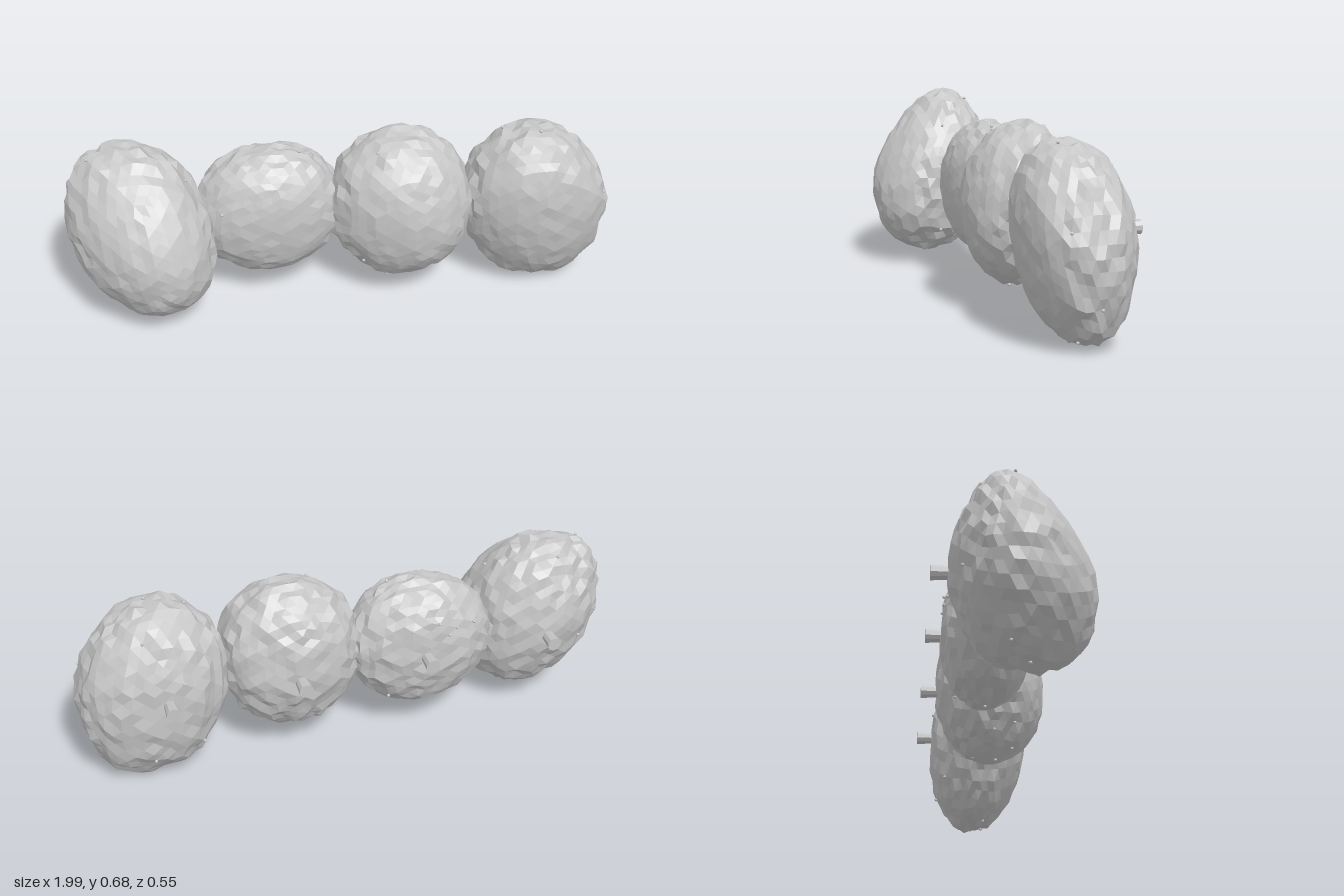
import * as THREE from 'three';

const stone = new THREE.MeshStandardMaterial({ color: 0xc6c6c6, flatShading: true });
stone.name = 'grey stone';

// Repeatable value in -1..1 for a point, so shared corners stay joined
function hash(x, y, z, seed) {
  const q = (v) => Math.round(v * 1000);
  const s = Math.sin(q(x) * 12.9898 + q(y) * 78.233 + q(z) * 37.719 + seed * 4.13) * 43758.5453;
  return (s - Math.floor(s)) * 2 - 1;
}

// Each boulder: bounds, squareness, front bulge, sideways leans and forward lean, peg height
const boulders = [
  { x: [-1.0, -0.465], y: [0.03, 0.675], z: [-0.22, 0.275], p: 1.92, front: 1.2, xy: -0.15, xz: 0.17, zy: -0.32, peg: 0.355 },
  { x: [-0.54, 0.015], y: [0.1, 0.615], z: [-0.225, 0.1], p: 2.12, front: 1.0, xy: 0.04, xz: 0, zy: 0, peg: 0.36 },
  { x: [-0.055, 0.475], y: [0.08, 0.67], z: [-0.22, 0.19], p: 2.05, front: 1.15, xy: 0, xz: 0.15, zy: -0.04, peg: 0.358 },
  { x: [0.435, 0.99], y: [0.0, 0.67], z: [-0.22, 0.17], p: 2.12, front: 1.0, xy: -0.08, xz: 0.08, zy: 0.14, peg: 0.363 },
];

// Chipped, slightly squared ellipsoid; its front half leans, its back stays upright
function boulderGeometry(b, seed) {
  const geo = new THREE.IcosahedronGeometry(1, 7);
  const pos = geo.attributes.position;
  const size = [b.x, b.y, b.z].map(([lo, hi]) => (hi - lo) / 2);
  for (let i = 0; i < pos.count; i++) {
    const x = pos.getX(i), y = pos.getY(i), z = pos.getZ(i);
    const square = Math.pow(Math.abs(x) ** b.p + Math.abs(y) ** b.p + Math.abs(z) ** b.p, -1 / b.p);
    const rough = z > 0.5 ? 0.018 : 0.036;
    const lumps = 0.015 * Math.sin(4 * x + seed * 2) * Math.sin(5 * y + seed);
    const r = square * (1 + lumps + rough * hash(x, y, z, seed));
    const px = x * r * size[0], py = y * r * size[1];
    const pz = z * r * size[2] * (z > 0 ? b.front : 1);
    pos.setXYZ(i, px + b.xy * py + b.xz * Math.max(pz, 0), py, pz + b.zy * py * (0.5 + 0.5 * z));
  }
  geo.computeBoundingBox();
  const { min, max } = geo.boundingBox;
  const fit = (v, lo, hi, to) => to[0] + ((v - lo) / (hi - lo)) * (to[1] - to[0]);
  for (let i = 0; i < pos.count; i++) {
    pos.setXYZ(i,
      fit(pos.getX(i), min.x, max.x, b.x),
      fit(pos.getY(i), min.y, max.y, b.y),
      fit(pos.getZ(i), min.z, max.z, b.z));
  }
  geo.computeVertexNormals();
  return geo;
}

export function createModel() {
  const group = new THREE.Group();
  group.name = 'boulderRow';
  const beadGeo = new THREE.SphereGeometry(0.006, 8, 6);

  boulders.forEach((b, i) => {
    const unit = new THREE.Group();
    unit.name = 'boulderUnit' + (i + 1);

    const geo = boulderGeometry(b, i + 1);
    const rock = new THREE.Mesh(geo, stone);
    rock.name = 'boulder';
    unit.add(rock);

    // Flared mounting peg at the back
    const peg = new THREE.Mesh(new THREE.CylinderGeometry(0.019, 0.026, 0.1, 10), stone);
    peg.name = 'backPeg';
    peg.rotation.x = Math.PI / 2;
    peg.position.set(-0.72 + 0.47 * i, b.peg, -0.225);
    unit.add(peg);

    // Tiny beads scattered over the rim and back
    const pos = geo.attributes.position;
    const centre = new THREE.Vector3((b.x[0] + b.x[1]) / 2, (b.y[0] + b.y[1]) / 2, 0);
    for (let k = 0; k < 12; k++) {
      const n = Math.floor((hash(k, i, 3, 9) * 0.5 + 0.5) * (pos.count - 1));
      const v = new THREE.Vector3().fromBufferAttribute(pos, n);
      if (v.z > 0.07) continue;
      const out = v.clone().sub(centre).normalize();
      const bead = new THREE.Mesh(beadGeo, stone);
      bead.name = 'bead';
      bead.position.copy(v).addScaledVector(out, 0.004);
      bead.position.y = Math.max(bead.position.y, 0.006);
      bead.position.x = THREE.MathUtils.clamp(bead.position.x, -0.994, 0.994);
      unit.add(bead);
    }
    group.add(unit);
  });
  return group;
}
